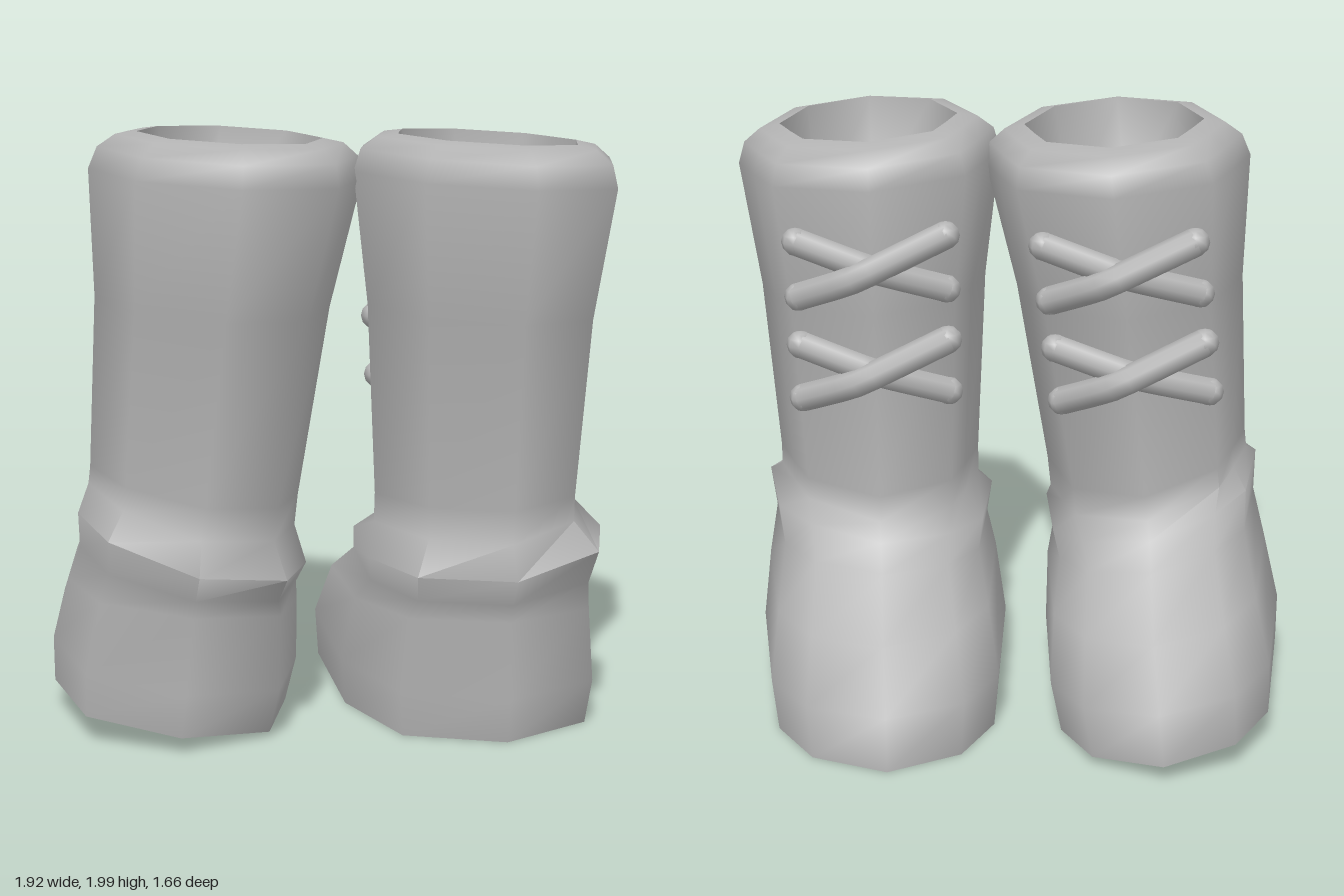
import * as THREE from 'three';
import { toCreasedNormals } from 'three/addons/utils/BufferGeometryUtils.js';

// Placement and lean of each boot; slopes tilt the sole, ankle fold and rim sideways
const BOOTS = [
  { name: 'leftBoot', x: 0.44, yaw: 0.12, lean: 0.018, back: 0, stretch: 0, soleSlope: 0, topSlope: -0.05, fold: 0.1, lift: 0, footWidth: 1 },
  { name: 'rightBoot', x: -0.565, yaw: 0.01, lean: 0.108, back: -0.035, stretch: 0.08, soleSlope: -0.126, topSlope: -0.045, fold: -0.15, lift: 0.055, footWidth: 0.95 },
];

// Half outlines from front to back: half width, fraction of length
const FOOT_HALF = [[0, 0], [0.25, 0.08], [0.37, 0.23], [0.42, 0.64], [0.32, 0.9], [0, 1]];
const SHAFT_HALF = [[0, 0], [0.707, 0.146], [0.86, 0.32], [1, 0.5], [0.707, 0.854], [0, 1]];
const mirror = (half) => [...half, ...half.slice(1, -1).reverse().map(([x, t]) => [-x, t])];
const FOOT_PLAN = mirror(FOOT_HALF);
const SHAFT_PLAN = mirror(SHAFT_HALF);

// Foot rings: toe y, heel y, toe z, heel z, width factor, share of the fold tilt
const FOOT_RINGS = [
  [0, 0, -0.83, 0.7, 1, 0],
  [0.18, 0.15, -0.815, 0.72, 1.05, 0],
  [0.36, 0.41, -0.63, 0.7, 0.98, 0],
  [0.5, 0.47, -0.33, 0.71, 0.92, 0.6],
  [0.59, 0.56, -0.26, 0.755, 0.97, 1],
];

// Shaft rings, up the outside and down into the bowl: front y, back y, front z, back z, half width, fold share
const SHAFT_RINGS = [
  [0.65, 0.67, -0.215, 0.695, 0.355, 0.9],
  [0.74, 0.78, -0.205, 0.695, 0.355, 0.5],
  [1.4, 1.4, -0.24, 0.74, 0.395, 0],
  [1.84, 1.84, -0.3, 0.83, 0.457, 0],
  [1.915, 1.915, -0.285, 0.815, 0.435, 0],
  [1.958, 1.958, -0.2, 0.74, 0.38, 0],
  [1.97, 1.97, -0.12, 0.67, 0.31, 0],
  [1.6, 1.6, -0.08, 0.61, 0.265, 0],
  [1.36, 1.36, 0.05, 0.47, 0.16, 0],
];

// Moves a point of the straight boot into its leaning, turned place
function place(b, x, y, z) {
  const k = Math.min(y / 1.9, 1);
  const sz = z * (1 + b.stretch * k);
  const wx = x * Math.cos(b.yaw) + sz * Math.sin(b.yaw);
  const wz = -x * Math.sin(b.yaw) + sz * Math.cos(b.yaw);
  const slope = b.soleSlope * (1 - k) + b.topSlope * k;
  return new THREE.Vector3(
    b.x + wx + b.lean * y,
    y + slope * x + b.lift * (1 - 0.8 * k),
    wz + b.back * y,
  );
}

// Rings of one boot from a plan; the fold share raises the sides around the ankle
function makeRings(b, plan, rings, width) {
  return rings.map(([yf, yb, zf, zb, w, f]) => plan.map(([x, t]) => {
    const px = x * w * width;
    const y = yf + (yb - yf) * t + f * (b.fold * px + 0.1 * Math.abs(px));
    return place(b, px, y, zf + (zb - zf) * t);
  }));
}

// Closed skin over rings, capped by the flat sole and the bowl floor
function loft(rings) {
  const n = rings[0].length;
  const pts = rings.flat();
  const index = [];
  for (let r = 0; r < rings.length - 1; r++) {
    for (let i = 0; i < n; i++) {
      const a = r * n + i, b = r * n + (i + 1) % n;
      index.push(a, a + n, b, b, a + n, b + n);
    }
  }
  const cap = (start, flip, drop) => {
    const c = new THREE.Vector3(0, -drop, 0);
    for (let i = 0; i < n; i++) c.addScaledVector(pts[start + i], 1 / n);
    const m = pts.push(c) - 1;
    for (let i = 0; i < n; i++) {
      const a = start + i, b = start + (i + 1) % n;
      index.push(m, flip ? b : a, flip ? a : b);
    }
  };
  cap(0, false, 0);
  cap((rings.length - 1) * n, true, 0.07);
  const geo = new THREE.BufferGeometry().setFromPoints(pts);
  geo.setIndex(index);
  return toCreasedNormals(geo, 1.25);
}

function makeBoot(b, leather) {
  const boot = new THREE.Group();
  boot.name = b.name;
  const add = (name, geo) => {
    const mesh = new THREE.Mesh(geo, leather);
    mesh.name = name;
    boot.add(mesh);
  };

  // Foot, ankle fold, shaft, bevelled rim and hollow in one skin
  add('bootBody', loft([
    ...makeRings(b, FOOT_PLAN, FOOT_RINGS, b.footWidth),
    ...makeRings(b, SHAFT_PLAN, SHAFT_RINGS, 1),
  ]));

  // Two crossed pairs of laces over the shin, the bent one on top
  for (const [y, zf] of [[1.2, -0.225], [1.57, -0.26]]) {
    // Rise direction, bend point and how far behind the shin line the two ends sit
    for (const [side, midX, midY, out, endL, endR] of [[1, 0.06, -0.02, 0.05, 0.06, 0.01], [-1, 0, 0, 0.01, 0.03, 0.07]]) {
      const ends = [[1, endL], [-1, endR]].map(([s, dz]) => place(b, s * 0.25, y - s * side * 0.1, zf + dz));
      const mid = place(b, midX, y + midY, zf - out);
      const path = new THREE.CatmullRomCurve3([ends[0], mid, ends[1]], false, 'catmullrom', 0.25);
      add('lace', new THREE.TubeGeometry(path, 10, 0.048, 8));
      for (const e of ends) {
        add('laceEnd', new THREE.SphereGeometry(0.048, 8, 6).translate(e.x, e.y, e.z));
      }
    }
  }
  return boot;
}

export function createModel() {
  const leather = new THREE.MeshStandardMaterial({ color: 0xb4b4b4 });
  leather.name = 'grey leather';
  const model = new THREE.Group();
  model.name = 'pairOfBoots';
  for (const b of BOOTS) model.add(makeBoot(b, leather));
  return model;
}
